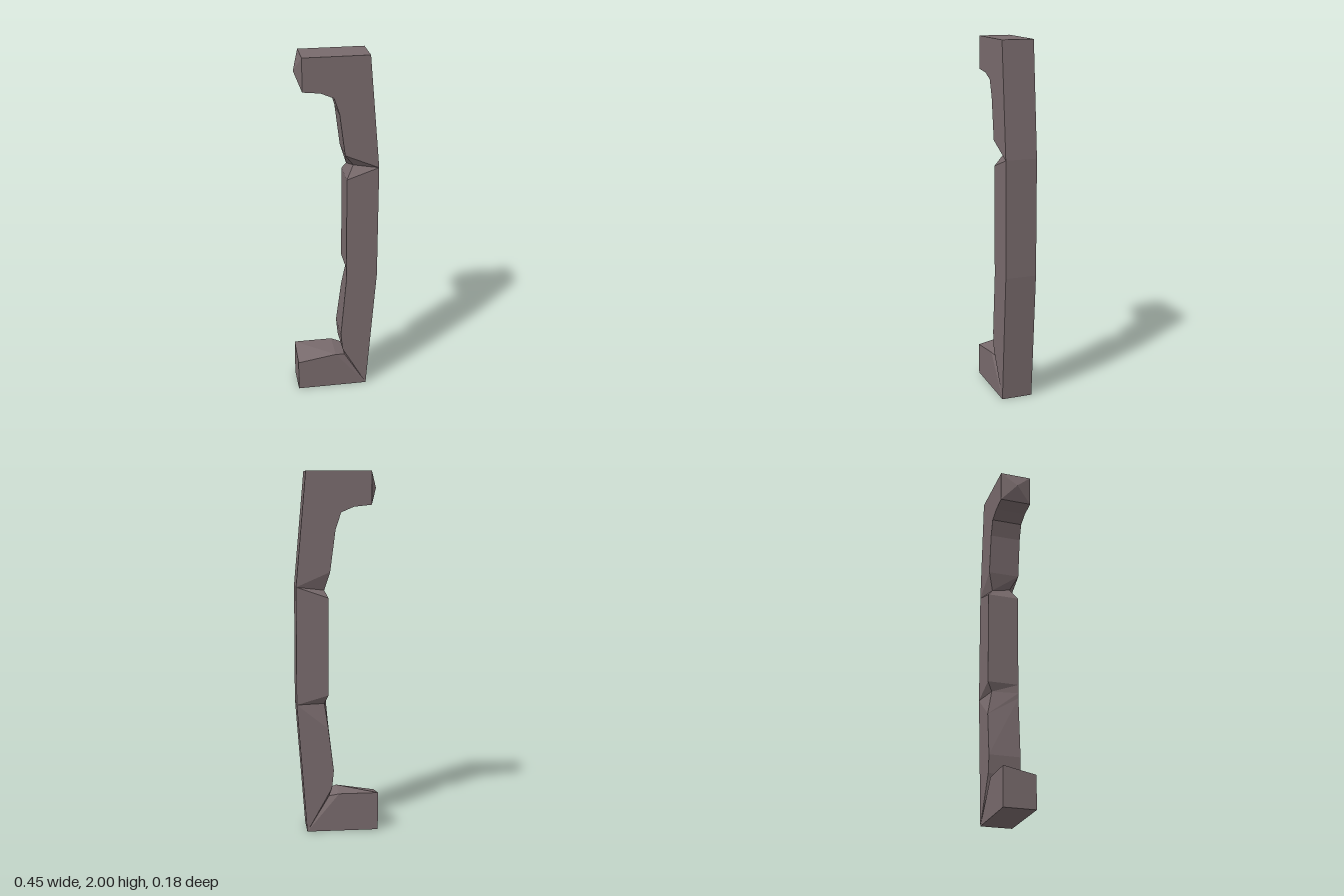
import * as THREE from 'three';

const D = 0.088; // half depth

export function createModel() {
  const group = new THREE.Group();
  const stone = new THREE.MeshStandardMaterial({ color: 0x786a6c });

  // Outer corners of the bracket, top to bottom
  const outer = [[0.17, 2], [0.225, 1.38], [0.225, 0.73], [0.17, 0]];

  // Stations down the inner edge: outer corner index, front point, back point
  const same = (o, x, y, z = D) => [o, [x, y, z], [x, y, -z]];
  const stations = [
    same(0, -0.185, 2), same(0, -0.185, 1.82), same(0, -0.09, 1.81),
    same(0, -0.02, 1.78), same(0, 0.01, 1.69), same(1, 0.04, 1.46),
    [1, [0.09, 1.39, 0.05], [0.07, 1.36, -0.06]], // upper notch, both sides
    same(1, 0.05, 1.32), same(2, 0.05, 0.78),
    [2, [0.05, 0.73, D], [0.07, 0.73, -0.06]], // lower notch, back only
    [2, [0.05, 0.7, D], [0.05, 0.59, -D]],
    same(3, 0.02, 0.35), same(3, 0.03, 0.25),
    same(3, 0.045, 0.2, 0.07), // crease at the foot
    same(3, -0.01, 0.215),
    [3, [-0.23, 0.18, D], [-0.23, 0.215, -D]],
    same(3, -0.23, 0),
  ];

  const pos = [];
  const tri = (a, b, c) => pos.push(...a, ...b, ...c);
  const quad = (a, b, c, d) => { tri(a, b, c); tri(a, c, d); };
  const out = (i, z) => [...outer[i], z];

  // Front, back and inner faces between neighbouring stations
  for (let i = 0; i < stations.length - 1; i++) {
    const [o0, f0, b0] = stations[i];
    const [o1, f1, b1] = stations[i + 1];
    tri(out(o0, D), f0, f1);
    tri(out(o0, -D), b1, b0);
    if (o0 !== o1) {
      tri(out(o0, D), f1, out(o1, D));
      tri(out(o0, -D), out(o1, -D), b1);
    }
    if (i > 0) quad(f0, b0, b1, f1);
  }

  // Outer spine
  for (let i = 0; i < 3; i++) quad(out(i, D), out(i + 1, D), out(i + 1, -D), out(i, -D));

  // Top and bottom ends
  const [, ft, bt] = stations[0];
  const [, fb, bb] = stations[stations.length - 1];
  quad(out(0, D), out(0, -D), bt, ft);
  quad(out(3, D), fb, bb, out(3, -D));

  // Pointed tip of the upper hook
  const [, f1, b1] = stations[1];
  const rim = [b1, f1, ft, bt];
  rim.forEach((p, i) => tri(p, rim[(i + 1) % 4], [-0.22, 1.91, 0]));

  // Unshared corners give flat facets
  const geometry = new THREE.BufferGeometry();
  geometry.setAttribute('position', new THREE.Float32BufferAttribute(pos, 3));
  geometry.computeVertexNormals();
  const mesh = new THREE.Mesh(geometry, stone);
  mesh.name = 'chippedBracket';
  group.add(mesh);
  return group;
}
